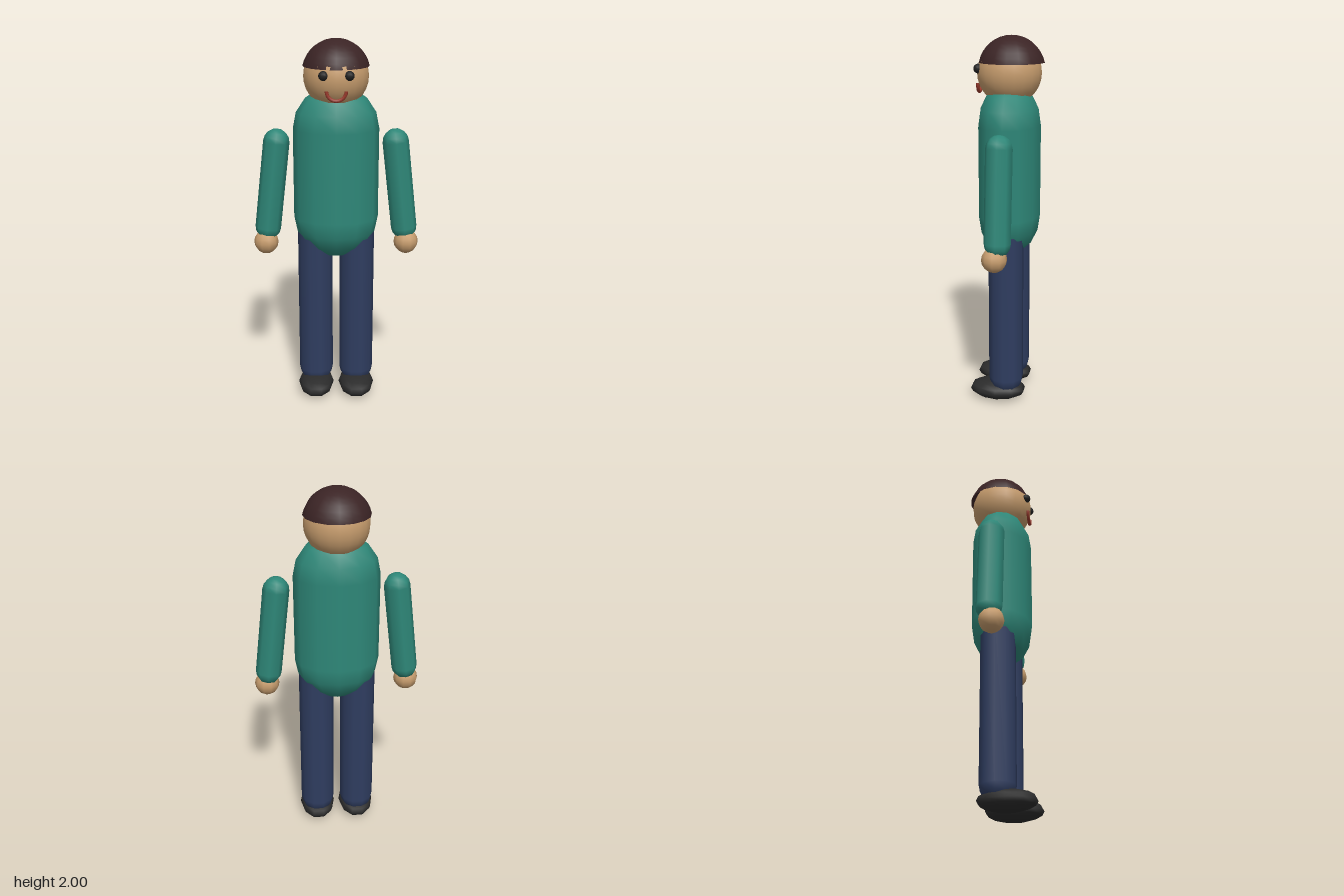
import * as THREE from 'three';

const mat = (name, color, side = THREE.FrontSide) => {
  const m = new THREE.MeshStandardMaterial({ color, side });
  m.name = name;
  return m;
};

export function createModel() {
  const skin = mat('skin', 0xc69c6d);
  const hairBrown = mat('hair brown', 0x3b2425, THREE.DoubleSide);
  const teal = mat('sweater teal', 0x2e8778);
  const navy = mat('trouser navy', 0x2f3d60);
  const black = mat('shoe black', 0x2b2b2b);
  const eyeBlack = mat('eye black', 0x222222);
  const red = mat('mouth red', 0x9a3a2c);

  const model = new THREE.Group();
  model.name = 'standingFigure';
  const add = (name, geometry, material, x, y, z) => {
    const mesh = new THREE.Mesh(geometry, material);
    mesh.name = name;
    mesh.position.set(x, y, z);
    model.add(mesh);
    return mesh;
  };
  const Z = -0.004; // body axis

  // Torso: a capsule flattened front to back
  const torso = add('torso', new THREE.CapsuleGeometry(0.228, 0.485, 4, 12), teal, 0, 1.293, Z);
  torso.scale.z = 0.735;

  // Head with a cap of hair set slightly back
  add('head', new THREE.SphereGeometry(0.17, 20, 16), skin, 0, 1.81, Z);
  const hair = new THREE.SphereGeometry(0.178, 16, 8, 0, Math.PI * 2, 0, Math.PI * 0.43);
  add('hair', hair, hairBrown, 0, 1.822, -0.015);

  // Smile: lower half of a thin ring
  const mouth = new THREE.TorusGeometry(0.05, 0.009, 6, 12, Math.PI);
  add('mouth', mouth, red, 0, 1.757, 0.156).rotation.z = Math.PI;

  for (const [side, s] of [['left', 1], ['right', -1]]) {
    add(side + 'Eye', new THREE.SphereGeometry(0.025, 10, 8), eyeBlack, s * 0.066, 1.832, 0.149);

    // Arm leaning outward, ending in a round hand
    const arm = add(side + 'Arm', new THREE.CapsuleGeometry(0.07, 0.48, 4, 8), teal, s * 0.344, 1.225, -0.006);
    arm.rotation.z = s * 0.115;
    add(side + 'Hand', new THREE.SphereGeometry(0.067, 10, 8), skin, s * 0.383, 0.907, 0.008);

    // Leg and flattened shoe pointing forward
    add(side + 'Leg', new THREE.CapsuleGeometry(0.095, 0.82, 4, 10), navy, s * 0.114, 0.545, -0.005);
    const shoe = add(side + 'Shoe', new THREE.SphereGeometry(1, 10, 8), black, s * 0.114, 0.057, 0.042);
    shoe.scale.set(0.1, 0.057, 0.157);
  }
  return model;
}
